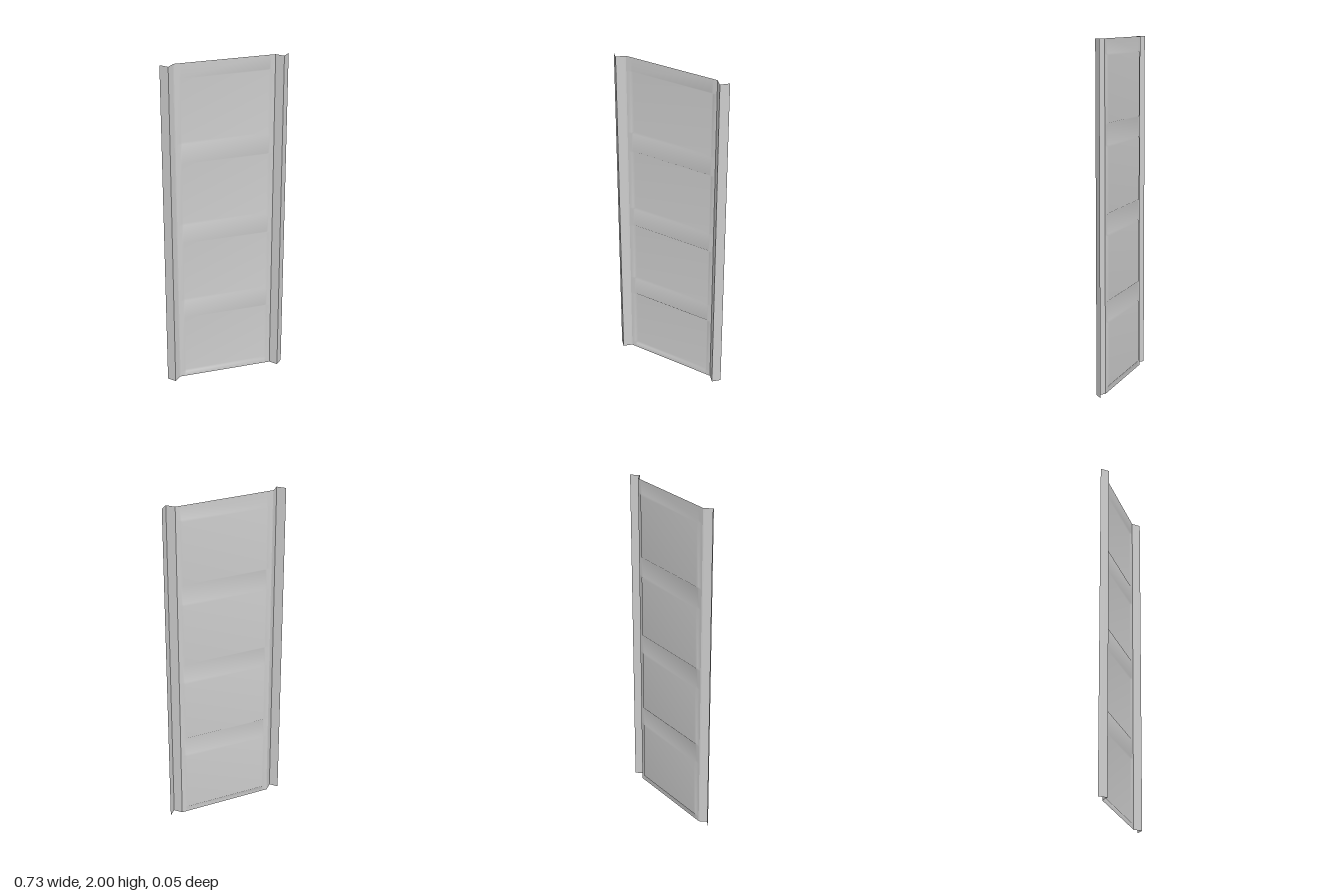
import * as THREE from 'three';

const HEIGHT = 2;
const BASE_Z = -0.015;
const PANEL_Z = -0.0245;
const RIDGE_Z = 0.0245;

const sheetMaterial = new THREE.MeshStandardMaterial({ color: 0xcccccc, side: THREE.DoubleSide });
const foldMaterial = new THREE.MeshStandardMaterial({
  color: 0xcccccc, side: THREE.DoubleSide, flatShading: true,
});

// Thin sheet with four bevelled panels pressed out towards the back
function createPressedSheet() {
  const xs = [-0.285, -0.258, -0.247, 0.252, 0.263, 0.287];
  const ys = [0];
  for (let i = 0; i < 4; i++) {
    const y = i * 0.5;
    ys.push(y + 0.03, y + 0.041, y + 0.409, y + 0.42);
  }
  ys.push(HEIGHT);

  const columns = xs.length;
  const rows = ys.length;
  const geometry = new THREE.PlaneGeometry(1, 1, columns - 1, rows - 1);
  const position = geometry.attributes.position;
  for (let row = 0; row < rows; row++) {
    const yIndex = rows - 1 - row;
    for (let col = 0; col < columns; col++) {
      const insideX = col === 2 || col === 3;
      const insideY = yIndex % 4 === 2 || yIndex % 4 === 3;
      const z = insideX && insideY ? PANEL_Z : BASE_Z;
      position.setXYZ(row * columns + col, xs[col], ys[yIndex], z);
    }
  }
  geometry.computeVertexNormals();
  const mesh = new THREE.Mesh(geometry, sheetMaterial);
  mesh.name = 'pressedSheet';
  return mesh;
}

// Full-height folded strip following a cross-section of [x, z] points
function createFold(name, section) {
  const geometry = new THREE.PlaneGeometry(1, HEIGHT, section.length - 1, 1);
  const position = geometry.attributes.position;
  section.forEach(([x, z], i) => {
    position.setXYZ(i, x, HEIGHT, z);
    position.setXYZ(i + section.length, x, 0, z);
  });
  geometry.computeVertexNormals();
  const mesh = new THREE.Mesh(geometry, foldMaterial);
  mesh.name = name;
  return mesh;
}

export function createModel() {
  const group = new THREE.Group();
  group.name = 'corrugatedWallPanel';
  group.add(createPressedSheet());

  // Forward-pointing ridges along both long edges
  group.add(createFold('rightEdgeRidge', [
    [-0.364, BASE_Z], [-0.326, RIDGE_Z], [-0.291, -0.011], [-0.285, BASE_Z],
  ]));
  group.add(createFold('leftEdgeRidge', [
    [0.287, BASE_Z], [0.324, RIDGE_Z], [0.362, BASE_Z],
  ]));
  return group;
}
